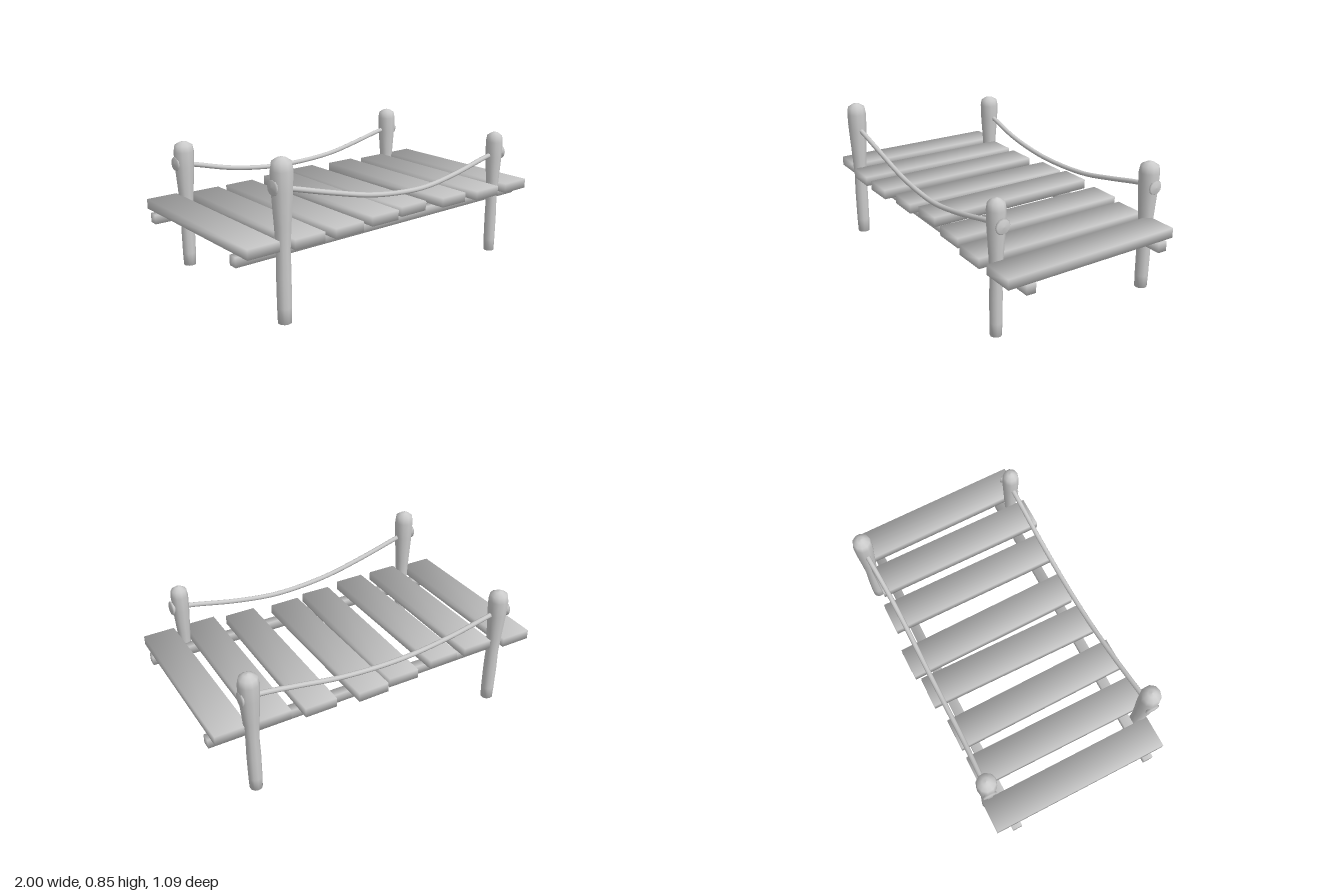
import * as THREE from 'three';

const material = new THREE.MeshStandardMaterial({ color: 0xcccccc });

function add(group, name, geometry) {
  const mesh = new THREE.Mesh(geometry, material);
  mesh.name = name;
  group.add(mesh);
  return mesh;
}

// Box with corner normals averaged, for softly shaded timber
function softBox(w, h, d) {
  const geometry = new THREE.BoxGeometry(w, h, d);
  const p = geometry.attributes.position;
  const n = new THREE.Vector3();
  for (let i = 0; i < p.count; i++) {
    n.set(Math.sign(p.getX(i)), Math.sign(p.getY(i)), Math.sign(p.getZ(i))).normalize();
    geometry.attributes.normal.setXYZ(i, n.x, n.y, n.z);
  }
  return geometry;
}

// Turned post: slim foot, slight swell, waist, thick domed head
function postGeometry(bottom, top, r) {
  const h = top - bottom;
  const profile = [
    [0, 0], [0.62, 0], [0.66, 0.1], [0.68, 0.3], [0.64, 0.45], [0.76, 0.6],
    [0.95, 0.8], [1, 0.92], [0.88, 0.97], [0.4, 0.992], [0, 1],
  ].map(([x, y]) => new THREE.Vector2(x * r, bottom + y * h));
  return new THREE.LatheGeometry(profile, 10);
}

// Flared rope end, opening along +x
function knotGeometry() {
  const profile = [[0.016, -0.035], [0.022, -0.015], [0.042, 0], [0.036, 0.008], [0, 0.012]]
    .map(([x, y]) => new THREE.Vector2(x, y));
  return new THREE.LatheGeometry(profile, 12).rotateZ(-Math.PI / 2);
}

export function createModel() {
  const model = new THREE.Group();
  model.name = 'plankBridge';

  // Deck planks: centre x, centre z, skew angle
  const planks = [
    [-0.887, -0.007, 0], [-0.633, 0.022, -0.003], [-0.39, 0.022, 0.011], [-0.113, -0.007, -0.01],
    [0.106, -0.033, 0.013], [0.403, -0.007, 0], [0.652, 0.022, 0], [0.897, 0.022, 0.011],
  ];
  const deck = new THREE.Group();
  deck.name = 'deck';
  model.add(deck);
  for (const [x, z, turn] of planks) {
    const plank = add(deck, 'plank', softBox(0.182, 0.055, 1.03));
    plank.position.set(x, 0.412, z);
    plank.rotation.y = turn;
  }

  // Long rails under the deck
  for (const z of [0.411, -0.411]) {
    add(model, 'rail', softBox(2, 0.053, 0.053)).position.set(0, 0.358, z);
  }

  // Corner posts: name, x, z, foot, top, head radius
  const posts = [
    ['frontRightPost', -0.76, 0.484, 0, 0.845, 0.058],
    ['frontLeftPost', 0.777, 0.462, 0.015, 0.75, 0.049],
    ['backRightPost', -0.76, -0.475, 0.015, 0.748, 0.057],
    ['backLeftPost', 0.783, -0.49, 0.015, 0.748, 0.056],
  ];
  for (const [name, x, z, foot, top, r] of posts) {
    add(model, name, postGeometry(foot, top, r)).position.set(x, 0, z);
  }

  // Sagging ropes passing through the posts, with flared ends
  const ropes = {
    frontRope: [
      [-0.81, 0.7, 0.482], [-0.71, 0.677, 0.48], [-0.45, 0.607, 0.474], [-0.2, 0.548, 0.473], [0.01, 0.522, 0.473],
      [0.2, 0.518, 0.473], [0.44, 0.55, 0.468], [0.725, 0.61, 0.462], [0.83, 0.622, 0.46],
    ],
    backRope: [
      [-0.81, 0.622, -0.483], [-0.71, 0.605, -0.48], [-0.46, 0.545, -0.471], [-0.2, 0.51, -0.47], [0.01, 0.504, -0.47],
      [0.28, 0.522, -0.47], [0.5, 0.563, -0.476], [0.725, 0.607, -0.49], [0.83, 0.614, -0.493],
    ],
  };
  for (const [name, points] of Object.entries(ropes)) {
    const path = new THREE.CatmullRomCurve3(points.map((p) => new THREE.Vector3(...p)));
    add(model, name, new THREE.TubeGeometry(path, 40, 0.014, 8));
    for (const end of [0, 1]) {
      const knot = add(model, 'ropeKnot', knotGeometry());
      knot.position.copy(path.getPoint(end));
      knot.rotation.y = end ? 0 : Math.PI;
    }
  }
  return model;
}
